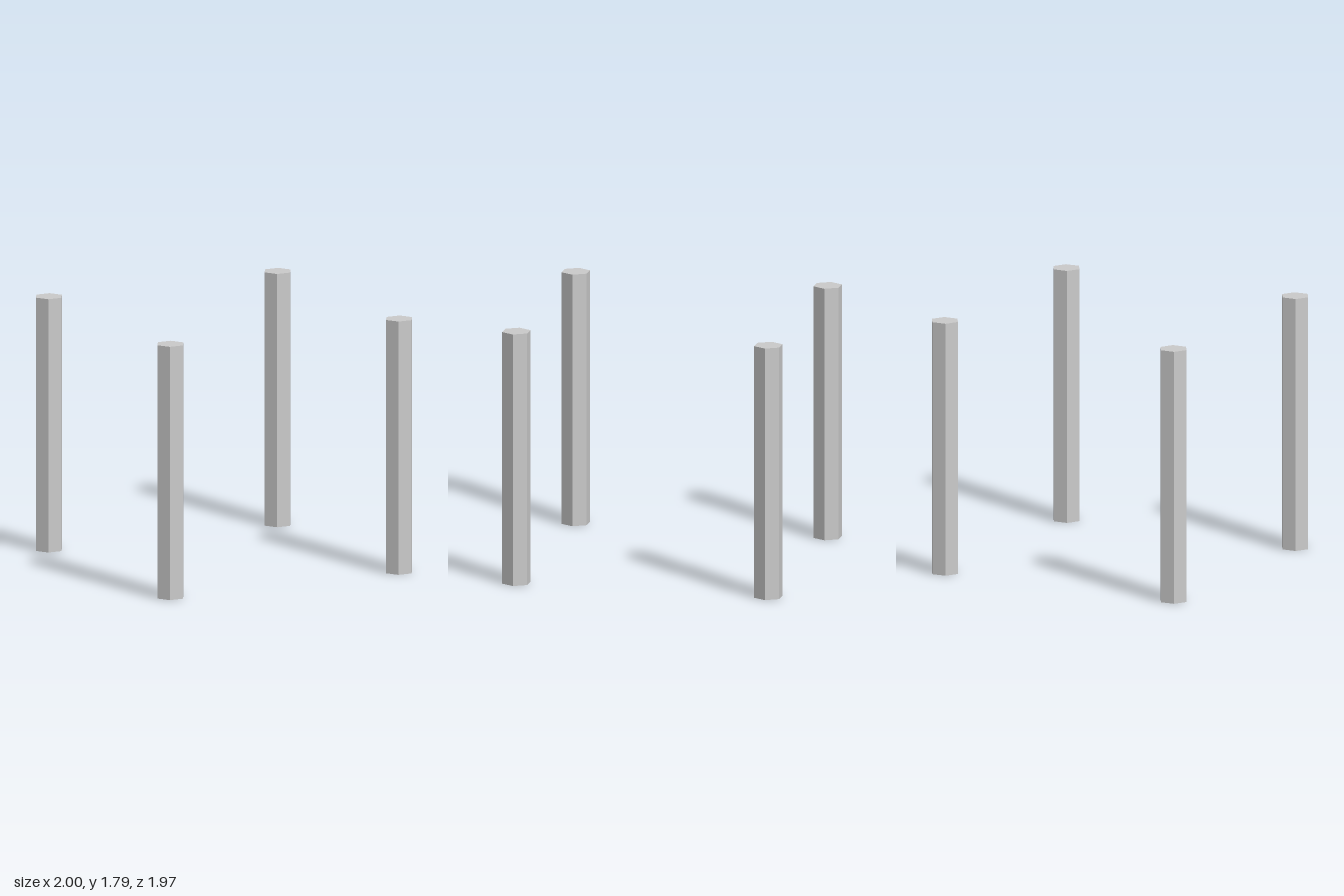
import * as THREE from 'three';

export function createModel() {
  const group = new THREE.Group();
  const material = new THREE.MeshStandardMaterial({ color: 0xcccccc, flatShading: true });

  const radius = 0.1025;
  const height = 1.795;
  const offset = 1 - radius; // post centre, so the outer corners reach x = ±1

  // Hexagonal post, standing on the ground with corners pointing along x
  const postGeometry = new THREE.CylinderGeometry(radius, radius, height, 6);
  postGeometry.rotateY(Math.PI / 6);
  postGeometry.translate(0, height / 2, 0);

  // One post at each corner of a square
  for (const [sideName, sx] of [['Left', 1], ['Right', -1]]) {
    for (const [endName, sz] of [['front', 1], ['back', -1]]) {
      const post = new THREE.Mesh(postGeometry, material);
      post.name = `${endName}${sideName}Post`;
      post.position.set(sx * offset, 0, sz * offset);
      group.add(post);
    }
  }
  return group;
}
